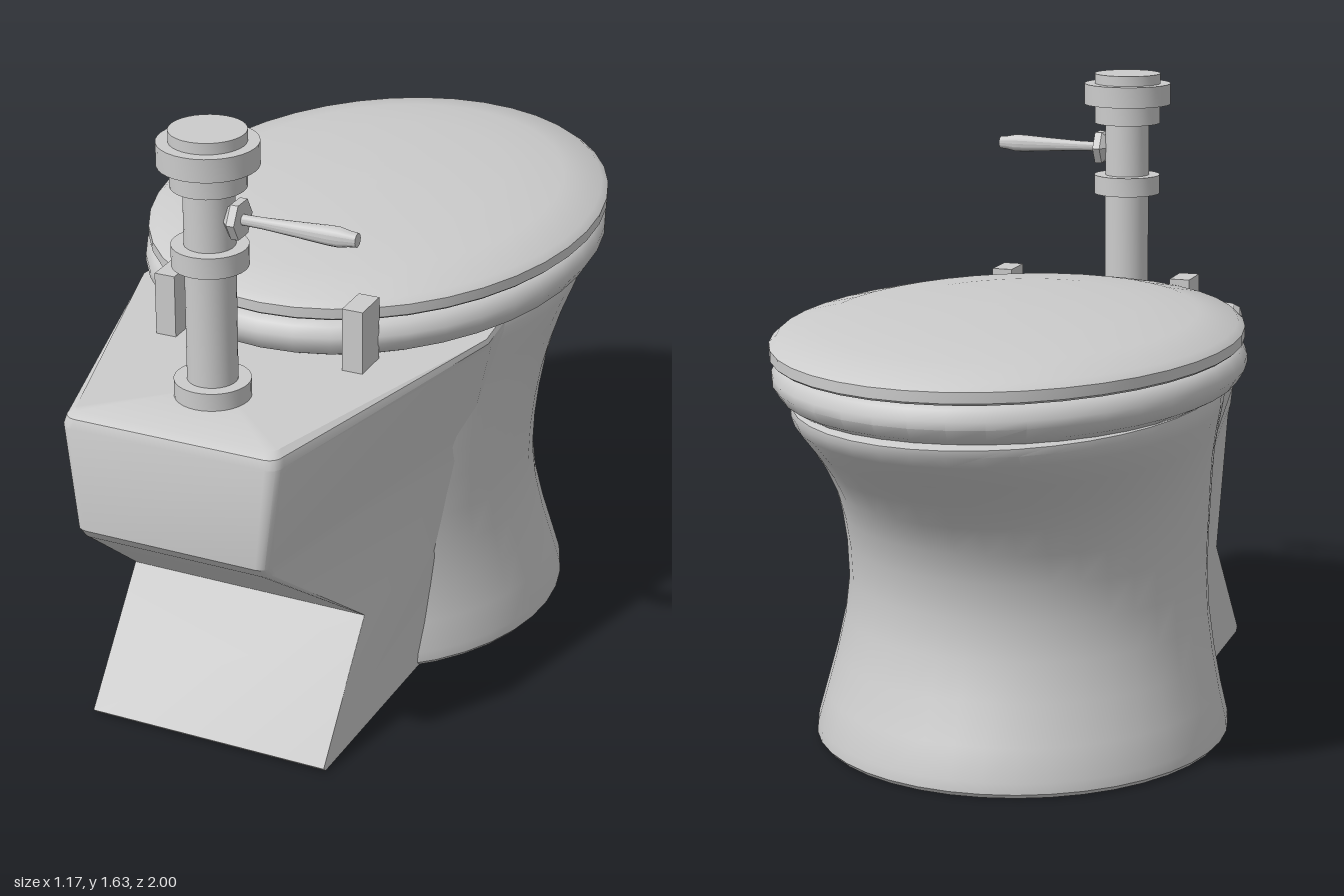
import * as THREE from 'three';
import { toCreasedNormals } from 'three/addons/utils/BufferGeometryUtils.js';

const material = new THREE.MeshStandardMaterial({ color: 0xcccccc });

// Closed skin over rings of [x, y, z] points, stacked bottom to top and capped
function loft(rings, crease = 0.6) {
  const n = rings[0].length;
  const positions = rings.flat(2);
  const index = [];
  for (let i = 0; i < rings.length - 1; i++) {
    for (let j = 0; j < n; j++) {
      const a = i * n + j, b = i * n + (j + 1) % n;
      index.push(a, a + n, b, b, a + n, b + n);
    }
  }
  const last = (rings.length - 1) * n;
  for (const [start, up] of [[0, false], [last, true]]) {
    const centre = positions.length / 3;
    for (let k = 0; k < 3; k++) {
      positions.push(rings[start / n].reduce((sum, p) => sum + p[k], 0) / n);
    }
    for (let j = 0; j < n; j++) {
      const a = start + j, b = start + (j + 1) % n;
      index.push(centre, up ? b : a, up ? a : b);
    }
  }
  const geometry = new THREE.BufferGeometry();
  geometry.setAttribute('position', new THREE.Float32BufferAttribute(positions, 3));
  geometry.setIndex(index);
  return toCreasedNormals(geometry, crease);
}

function ellipse(y, rx, zMin, zMax, n = 40) {
  const c = (zMin + zMax) / 2, rz = (zMax - zMin) / 2;
  return Array.from({ length: n }, (_, i) => {
    const t = (i / n) * Math.PI * 2;
    return [rx * Math.cos(t), y, c + rz * Math.sin(t)];
  });
}

// Half outline of the tank block, rounded at its outer corner, then mirrored
function blockRing([y, xf, zf, xm, zm, xb, zb, r]) {
  const half = [[xf, y, zf], [xm, y, zm]];
  for (let i = 0; i <= 4; i++) {
    const t = (i / 4) * Math.PI / 2;
    half.push([xb - r + r * Math.cos(t), y, zb - r + r * Math.sin(t)]);
  }
  return [...half, ...half.map(([x, h, z]) => [-x, h, z]).reverse()];
}

function turned(points, segments = 24) {
  const profile = points.map(([r, y]) => new THREE.Vector2(r, y));
  return toCreasedNormals(new THREE.LatheGeometry(profile, segments), 0.6);
}

export function createModel() {
  const model = new THREE.Group();
  const add = (name, geometry, x = 0, y = 0, z = 0, parent = model) => {
    const mesh = new THREE.Mesh(geometry, material);
    mesh.name = name;
    mesh.position.set(x, y, z);
    parent.add(mesh);
    return mesh;
  };

  // Waisted bowl: y, half width, front z, rear z
  add('bowl', loft([
    [0, 0.53, -0.715, 0.40], [0.012, 0.54, -0.725, 0.41], [0.04, 0.538, -0.722, 0.41],
    [0.12, 0.518, -0.69, 0.39], [0.22, 0.495, -0.65, 0.38], [0.32, 0.477, -0.62, 0.38],
    [0.42, 0.468, -0.608, 0.39], [0.52, 0.47, -0.622, 0.40], [0.6, 0.475, -0.65, 0.41],
    [0.68, 0.482, -0.698, 0.42], [0.75, 0.492, -0.765, 0.43], [0.82, 0.507, -0.85, 0.45],
    [0.89, 0.527, -0.938, 0.46], [0.92, 0.53, -0.962, 0.47], [0.938, 0.525, -0.965, 0.47],
    [0.947, 0.5, -0.94, 0.45],
  ].map((level) => ellipse(...level))));

  // Tank block and kinked trapway: y, inner x/z, middle x/z, outer x/z, corner radius
  add('tankAndTrapway', loft([
    [0, 0.352, 0.07, 0.342, 0.27, 0.325, 0.82, 0.002],
    [0.012, 0.352, 0.07, 0.342, 0.27, 0.325, 0.832, 0.002],
    [0.32, 0.372, 0.05, 0.36, 0.165, 0.325, 0.585, 0.002],
    [0.615, 0.405, 0, 0.405, 0.1, 0.255, 0.975, 0.025],
    [0.645, 0.41, 0, 0.41, 0.1, 0.257, 1, 0.03],
    [0.915, 0.47, -0.05, 0.485, 0.17, 0.289, 1, 0.035],
    [0.938, 0.47, -0.05, 0.49, 0.2, 0.284, 0.992, 0.035],
    [0.95, 0.465, -0.05, 0.485, 0.2, 0.27, 0.97, 0.03],
  ].map(blockRing), 0.5));

  // Seat with a rounded rim
  add('seat', loft([
    [0.94, 0.53, -0.925, 0.455], [0.96, 0.567, -0.96, 0.495], [0.99, 0.585, -0.98, 0.513],
    [1.01, 0.585, -0.98, 0.513], [1.035, 0.572, -0.967, 0.5], [1.045, 0.555, -0.95, 0.485],
  ].map((level) => ellipse(...level))));

  // Domed lid
  add('lid', loft([
    [1.045, 0.54, -0.95, 0.45], [1.052, 0.575, -0.992, 0.492], [1.058, 0.582, -1, 0.5],
    [1.085, 0.582, -1, 0.5], [1.1, 0.565, -0.977, 0.477], [1.125, 0.465, -0.85, 0.35],
    [1.143, 0.32, -0.665, 0.165], [1.153, 0.16, -0.457, -0.043], [1.157, 0.03, -0.29, -0.21],
  ].map((level) => ellipse(...level))));

  for (const side of [-1, 1]) {
    add(side > 0 ? 'leftHinge' : 'rightHinge',
      new THREE.BoxGeometry(0.055, 0.165, 0.1), side * 0.256, 1.0325, 0.46);
  }

  // Flush valve: stepped pipe with collars and cap
  const valve = new THREE.Group();
  valve.name = 'flushValve';
  valve.position.z = 0.755;
  model.add(valve);
  add('pipe', turned([
    [0, 0.945], [0.094, 0.945], [0.094, 0.995], [0.062, 0.995], [0.062, 1.292],
    [0.093, 1.292], [0.093, 1.345], [0.062, 1.345], [0.062, 1.492], [0.092, 1.492],
    [0.092, 1.546], [0.122, 1.546], [0.122, 1.604], [0.093, 1.604], [0.093, 1.632], [0, 1.632],
  ], 32), 0, 0, 0, valve);

  // Hexagonal nut and tapered lever pointing sideways
  const nut = add('leverNut', new THREE.LatheGeometry(
    [[0, 0.025], [0.05, 0.068], [0.05, 0.088], [0, 0.088]].map(([r, y]) => new THREE.Vector2(r, y)), 6,
  ).toNonIndexed(), 0, 1.42, 0, valve);
  nut.geometry.computeVertexNormals();
  nut.rotation.z = -Math.PI / 2;
  const lever = add('lever', turned([
    [0, 0.08], [0.013, 0.08], [0.014, 0.14], [0.019, 0.23], [0.024, 0.31],
    [0.024, 0.335], [0.019, 0.36], [0.017, 0.38], [0, 0.38],
  ], 16), 0, 1.42, 0, valve);
  lever.rotation.z = -Math.PI / 2;

  return model;
}
